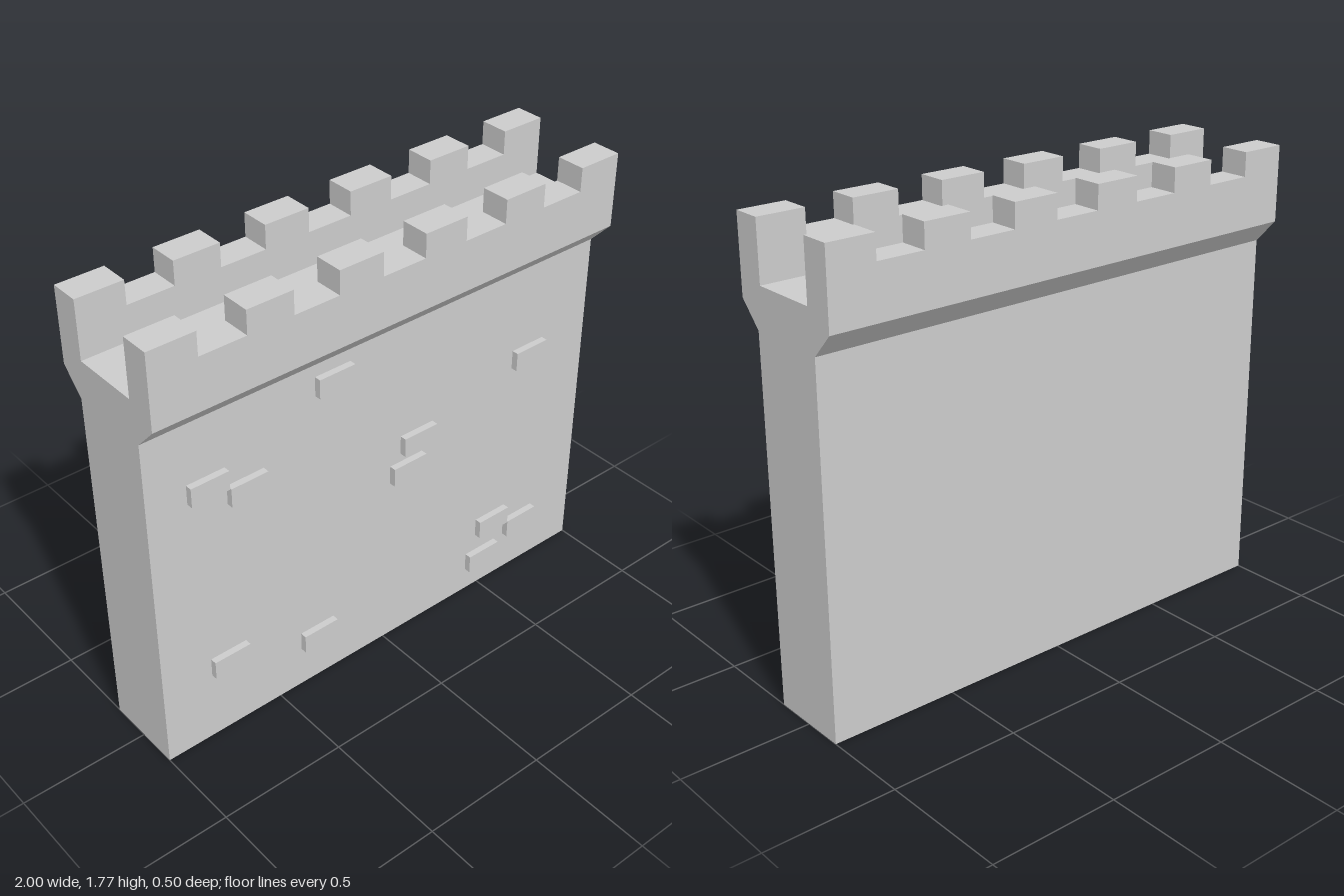
import * as THREE from 'three';

export function createModel() {
  const model = new THREE.Group();
  model.name = 'castleWall';
  const material = new THREE.MeshStandardMaterial({ color: 0xcccccc, flatShading: true });

  const WIDTH = 2, BODY = 0.162, OUTER = 0.248, INNER = 0.135;
  const CORBEL_LOW = 1.393, CORBEL_TOP = 1.484, WALK = 1.55, CRENEL = 1.682, TOP = 1.773;

  const add = (name, geometry, parent, x = 0, y = 0, z = 0) => {
    const mesh = new THREE.Mesh(geometry, material);
    mesh.name = name;
    mesh.position.set(x, y, z);
    parent.add(mesh);
  };

  // Wall body: mirrored cross-section with corbels and a sunken walkway, run along x
  const half = [
    [BODY, 0], [BODY, CORBEL_LOW], [OUTER, CORBEL_TOP],
    [OUTER, CRENEL], [INNER, CRENEL], [INNER, WALK],
  ];
  const mirrored = half.map(([z, y]) => [-z, y]).reverse();
  const section = new THREE.Shape([...half, ...mirrored].map(([z, y]) => new THREE.Vector2(z, y)));
  const wall = new THREE.ExtrudeGeometry(section, { depth: WIDTH, bevelEnabled: false });
  wall.translate(0, 0, -WIDTH / 2).rotateY(Math.PI / 2);
  add('wallBody', wall, model);

  // Battlements: six merlons per side, gaps as wide as the merlons
  const step = WIDTH / 11;
  const merlon = new THREE.BoxGeometry(step, TOP - CRENEL, OUTER - INNER);
  for (const side of [1, -1]) {
    const row = new THREE.Group();
    row.name = side > 0 ? 'frontMerlons' : 'backMerlons';
    for (let i = 0; i < 6; i++) {
      add('merlon', merlon, row, -1 + (2 * i + 0.5) * step, (CRENEL + TOP) / 2, side * (OUTER + INNER) / 2);
    }
    model.add(row);
  }

  // Raised bricks scattered over the front face
  const bricks = new THREE.Group();
  bricks.name = 'frontBricks';
  const brick = new THREE.BoxGeometry(0.152, 0.076, 0.026);
  const centres = [
    [-0.766, 1.12], [-0.61, 1.042], [-0.235, 1.307], [0.698, 1.019],
    [0.15, 0.885], [0.102, 0.773], [-0.719, 0.329], [-0.321, 0.211],
    [0.554, 0.291], [0.708, 0.217], [0.508, 0.139],
  ];
  for (const [x, y] of centres) add('brick', brick, bricks, x, y, BODY + 0.013);
  model.add(bricks);

  return model;
}
